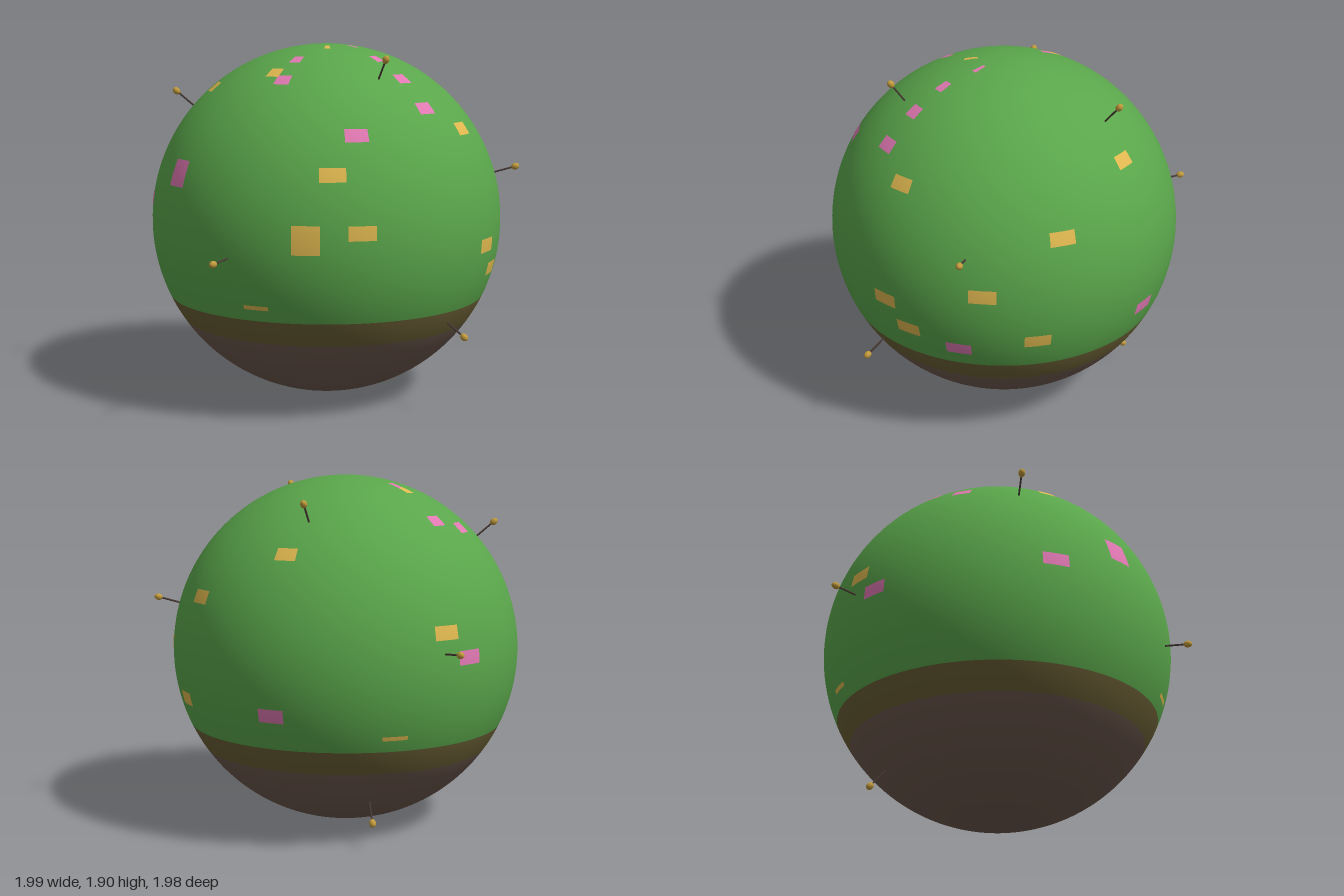
import * as THREE from 'three';

const R = 0.952;
const rad = THREE.MathUtils.degToRad;
const mat = (name, color) => {
  const m = new THREE.MeshStandardMaterial({ color });
  m.name = name;
  return m;
};

// Piece of a sphere between two longitudes (0 = front, 90 = +x) and two latitudes, in degrees
function spherePiece(r, lon0, lon1, lat0, lat1, nu, nv) {
  return new THREE.SphereGeometry(r, nu, nv,
    rad(lon0 + 90), rad(lon1 - lon0), rad(90 - lat1), rad(lat1 - lat0));
}

export function createModel() {
  const grass = mat('grass green', 0x5aa64b);
  const edge = mat('olive brown', 0x6a5f35);
  const soil = mat('soil brown', 0x6d584d);
  const yellow = mat('flower yellow', 0xe0b850);
  const pink = mat('flower pink', 0xe078b2);
  const stemMat = mat('stem dark brown', 0x4a3b36);
  const headMat = mat('bud gold', 0xc09a3c);

  const model = new THREE.Group();
  model.name = 'flowerGlobe';
  const globe = new THREE.Group();
  globe.name = 'globe';
  globe.position.set(-0.0475, 0.953, 0.037);
  model.add(globe);

  const add = (name, geometry, material, parent = globe) => {
    const mesh = new THREE.Mesh(geometry, material);
    mesh.name = name;
    parent.add(mesh);
    return mesh;
  };

  // Globe body in three zones
  add('grassDome', spherePiece(R, -180, 180, -25, 90, 96, 64), grass);
  add('soilEdge', spherePiece(R, -180, 180, -34.2, -25, 96, 6), edge);
  add('soilBase', spherePiece(R, -180, 180, -90, -34.2, 96, 32), soil);

  // Flower patches: longitude, latitude, optional height in degrees
  const W = 8.5, H = 4.4;
  const patches = (name, material, list) => list.forEach(([lon, lat, h = H]) =>
    add(name, spherePiece(R + 0.0025, lon - W / 2, lon + W / 2, lat - h / 2, lat + h / 2, 4, 4), material));

  patches('yellowFlowerPatch', yellow, [
    [-7.4, 21], [-15.5, 1.8, 8.7], [1.3, 3.8], [52.2, 33.3], [51.9, -4.6], [60, -13.2],
    [-32.4, -20.1, 1.4], [-41.2, 58.5], [-7.9, 79.4], [-83.8, 49.7], [111, 20.8],
    [85.6, 3.7], [102.7, -13.2], [145.2, 37.3], [-134.1, 66.7], [-159, 11.8], [-175.6, -20.1, 1.4],
  ]);
  patches('pinkFlowerPatch', pink, [
    [1.3, 33.3], [35.4, 41.9], [35.6, 54.9], [-33, 54.9], [-33.3, 66.8], [35.6, 67],
    [44.4, 79.6], [-65.8, 18.7, 8.5], [77.3, -17.3], [144.5, -13.2], [-125.5, 45.7],
    [-142.4, 49.6], [-134.3, 70.7], [-150.4, 3.7], [-91.3, 7.9],
  ]);

  // Stalks standing straight out of the surface, each with an oval bud
  const tip = 1.073, root = R - 0.02;
  const stemGeo = new THREE.CylinderGeometry(0.005, 0.005, tip - root, 8);
  stemGeo.translate(0, (tip + root) / 2, 0);
  const budGeo = new THREE.SphereGeometry(0.018, 16, 12);
  budGeo.scale(1, 1.25, 1);
  budGeo.translate(0, tip, 0);
  const up = new THREE.Vector3(0, 1, 0);
  [
    [-0.81, 0.70, -0.147], [1.02, 0.283, 0.178], [0.21, 0.887, 0.576], [-0.69, -0.09, 0.813],
    [0.597, -0.53, 0.716], [0.34, 0.83, -0.6], [-0.367, 0.102, -1.003], [0, -0.816, -0.69],
  ].forEach((d) => {
    const stalk = new THREE.Group();
    stalk.name = 'stalk';
    stalk.quaternion.setFromUnitVectors(up, new THREE.Vector3(...d).normalize());
    add('stem', stemGeo, stemMat, stalk);
    add('bud', budGeo, headMat, stalk);
    globe.add(stalk);
  });

  return model;
}
